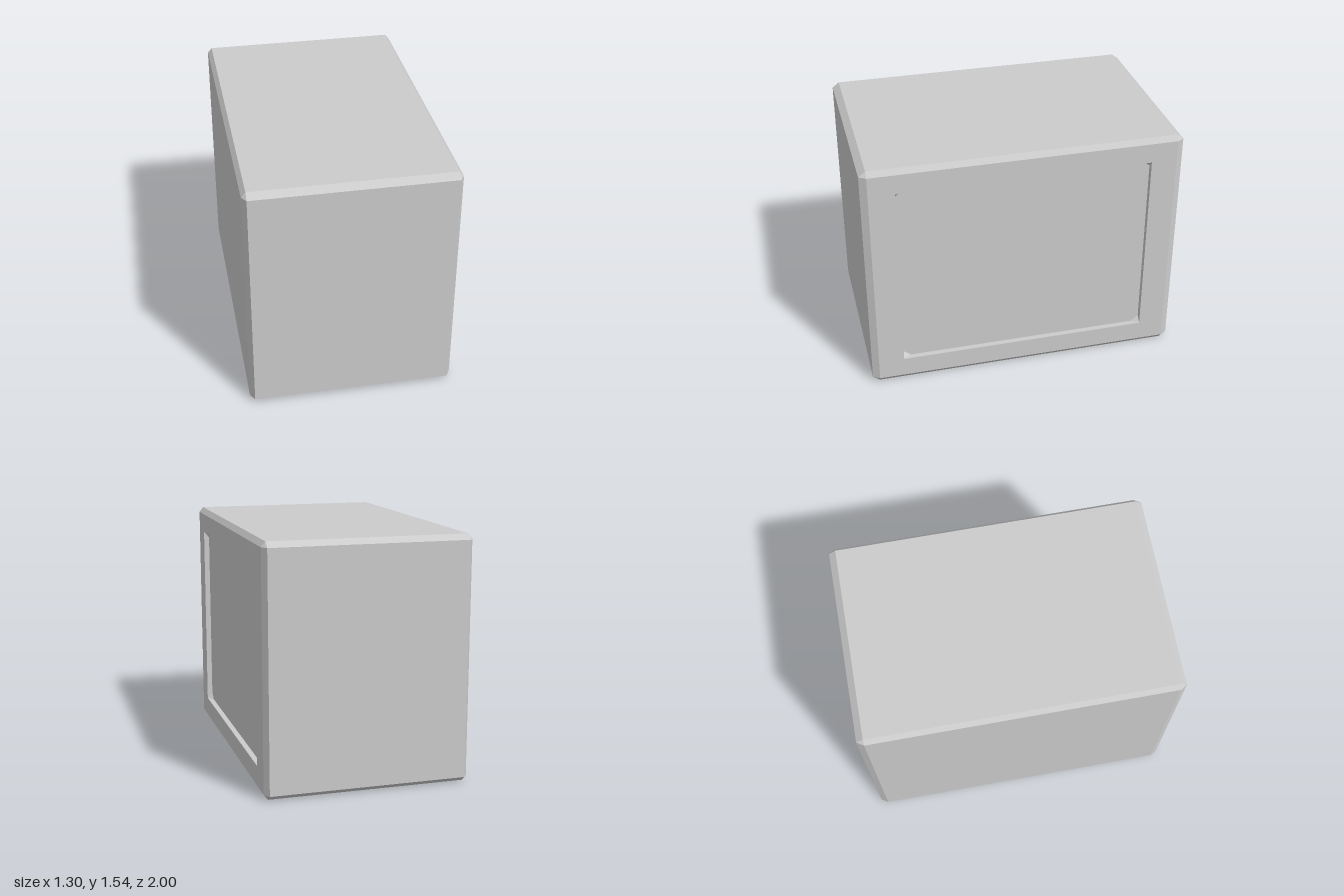
import * as THREE from 'three';

const MID = 0.7725; // height of the box centre

// Eight-point ring in the yz plane: a rectangle with cut corners (cuts of 0 give sharp corners)
function ring([x, halfY, halfZ, cutY = 0, cutZ = 0]) {
  const points = [];
  [[1, 1], [-1, 1], [-1, -1], [1, -1]].forEach(([sy, sz], i) => {
    const pair = [
      new THREE.Vector3(x, MID + sy * halfY, sz * (halfZ - cutZ)),
      new THREE.Vector3(x, MID + sy * (halfY - cutY), sz * halfZ),
    ];
    points.push(...(i % 2 ? pair.reverse() : pair));
  });
  return points;
}

// Join consecutive rings with flat faces, leaving out collapsed triangles
function loft(sections) {
  const rings = sections.map(ring);
  const positions = [];
  const addTriangle = (a, b, c) => {
    if (new THREE.Triangle(a, b, c).getArea() < 1e-8) return;
    for (const p of [a, b, c]) positions.push(p.x, p.y, p.z);
  };
  for (let i = 0; i < rings.length - 1; i++) {
    for (let j = 0; j < 8; j++) {
      const k = (j + 1) % 8;
      addTriangle(rings[i][j], rings[i][k], rings[i + 1][k]);
      addTriangle(rings[i][j], rings[i + 1][k], rings[i + 1][j]);
    }
  }
  const geometry = new THREE.BufferGeometry();
  geometry.setAttribute('position', new THREE.Float32BufferAttribute(positions, 3));
  geometry.computeVertexNormals();
  return geometry;
}

export function createModel() {
  const group = new THREE.Group();
  group.name = 'bevelledBox';
  const material = new THREE.MeshStandardMaterial({ color: 0xcccccc, flatShading: true });

  const hx = 0.648, hy = 0.7725, hz = 1; // half sizes
  const bx = 0.027, by = 0.033, bz = 0.043; // bevel sizes

  // Bevelled outer shell, ending at the rim of the side recess
  const shell = new THREE.Mesh(loft([
    [-hx, 0, 0],
    [-hx, hy - by, hz - bz],
    [-hx + bx, hy, hz, by, bz],
    [hx - bx, hy, hz, by, bz],
    [hx, hy - by, hz - bz],
    [hx, 0.6125, 0.795],
  ]), material);
  shell.name = 'shell';

  // Shallow recessed panel on the left side, with small sloped corner fillets
  const panel = new THREE.Mesh(loft([
    [hx, 0.6125, 0.795],
    [hx - 0.035, 0.6125, 0.795, 0.038, 0.05],
    [hx - 0.035, 0, 0],
  ]), material);
  panel.name = 'recessedPanel';

  group.add(shell, panel);
  return group;
}
